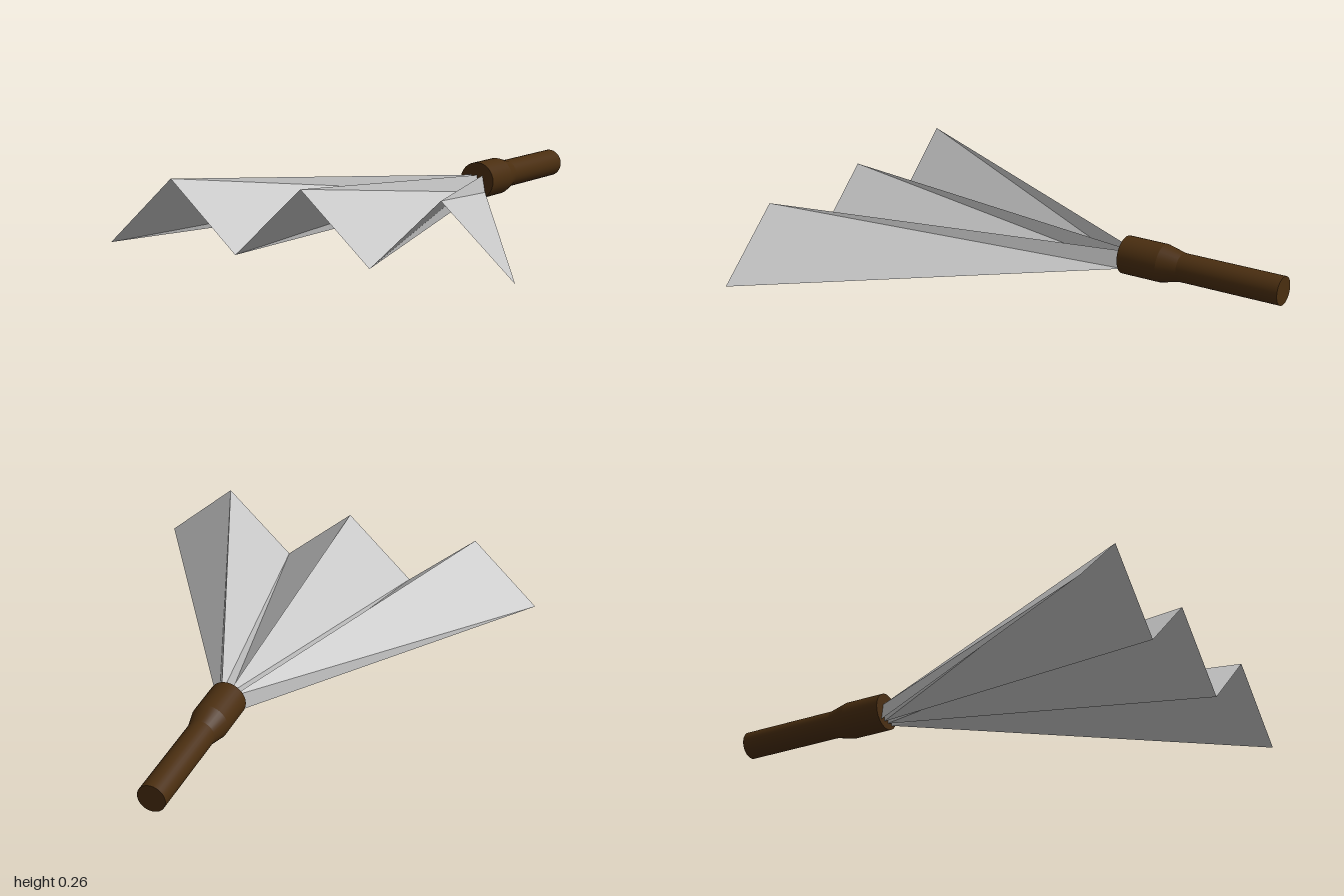
import * as THREE from 'three';

export function createModel() {
  const model = new THREE.Group();
  const wood = new THREE.MeshStandardMaterial({ color: 0x4a2e10 });
  wood.name = 'darkWood';
  const paper = new THREE.MeshStandardMaterial({ color: 0xc6c6c6, side: THREE.DoubleSide, flatShading: true });
  paper.name = 'greyPaper';

  // Handle: turned sections, each with its own crisp ends, lying along z
  const handle = new THREE.Group();
  handle.name = 'handle';
  const section = (name, rBack, rFront, zBack, zFront, open) => {
    const geo = new THREE.CylinderGeometry(rFront, rBack, zFront - zBack, 32, 1, open);
    geo.rotateX(Math.PI / 2);
    const mesh = new THREE.Mesh(geo, wood);
    mesh.name = name;
    mesh.position.set(0, 0.132, (zBack + zFront) / 2);
    handle.add(mesh);
  };
  section('grip', 0.057, 0.057, -1, -0.57, false);
  section('taper', 0.057, 0.076, -0.57, -0.49, true);
  section('socket', 0.076, 0.076, -0.49, -0.32, false);
  model.add(handle);

  // Pleated fan: alternating valleys and ridges spreading from the socket
  const folds = 6;
  const outer = [], inner = [];
  for (let i = 0; i <= folds; i++) {
    const t = i - folds / 2, ridge = i % 2;
    outer.push([t * 0.2845, ridge ? 0.26 : 0, 1]);
    inner.push([t * 0.012, ridge ? 0.155 : 0.085, -0.325]);
  }
  const points = [];
  for (let i = 0; i < folds; i++) {
    // Each twisted panel is creased from its left outer corner
    points.push(...outer[i], ...outer[i + 1], ...inner[i + 1]);
    points.push(...outer[i], ...inner[i + 1], ...inner[i]);
  }
  const fanGeo = new THREE.BufferGeometry();
  fanGeo.setAttribute('position', new THREE.Float32BufferAttribute(points, 3));
  fanGeo.computeVertexNormals();
  const fan = new THREE.Mesh(fanGeo, paper);
  fan.name = 'pleatedFan';
  model.add(fan);

  return model;
}
